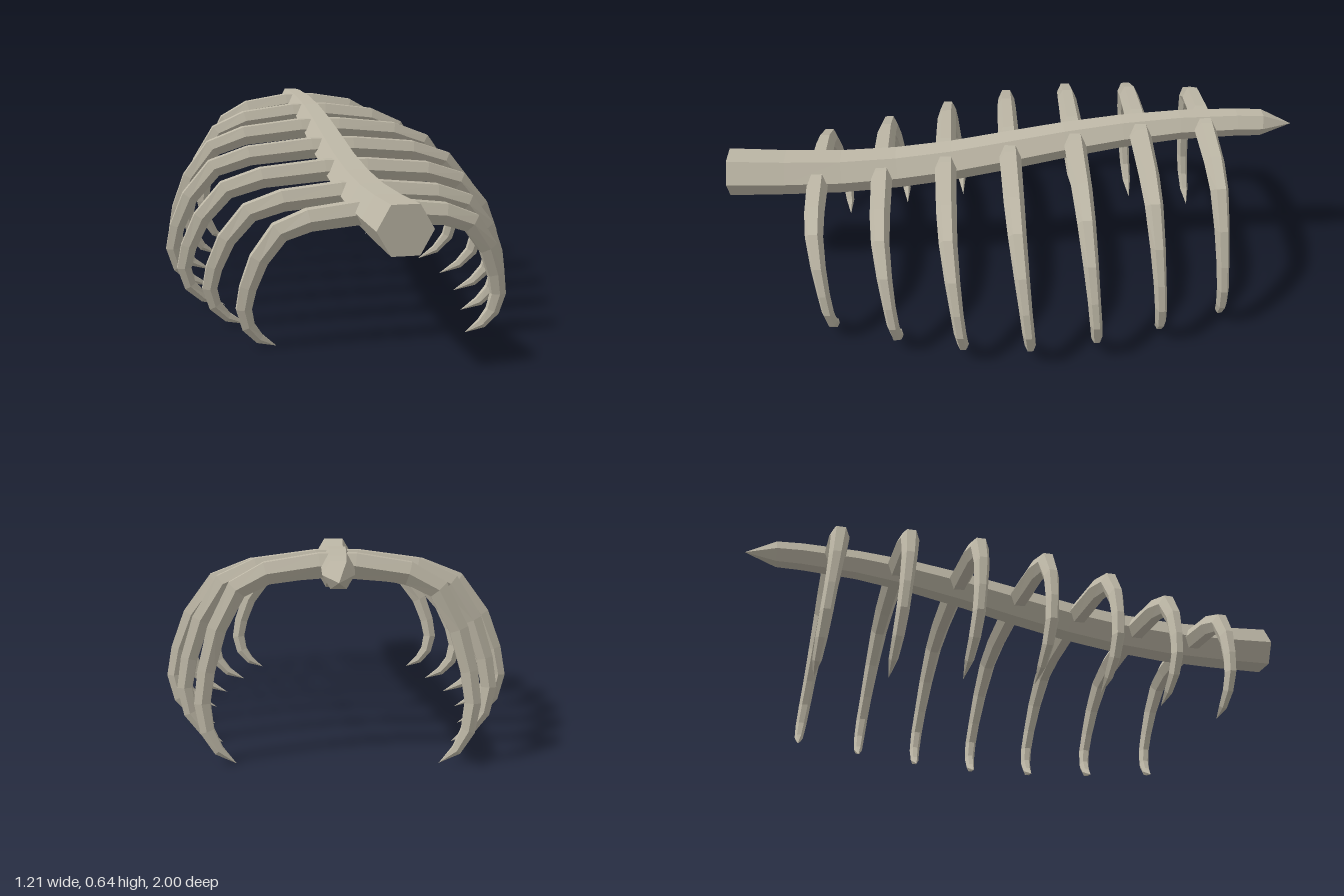
import * as THREE from 'three';

// Sweeps a six-sided section along rings [x, y, z, halfWidth, halfHeight];
// the width runs along the given axis. A ring of zero width ends in a point.
function hexSweep(rings, widthAxis) {
  const SIDES = 6;
  const centres = rings.map(r => new THREE.Vector3(r[0], r[1], r[2]));
  const last = rings.length - 1;
  const pos = [];
  const index = [];
  rings.forEach((r, i) => {
    const before = centres[Math.max(i - 1, 0)];
    const after = centres[Math.min(i + 1, last)];
    const tangent = after.clone().sub(before).normalize();
    const heightAxis = tangent.cross(widthAxis).normalize();
    for (let j = 0; j < SIDES; j++) {
      const a = (j / SIDES) * Math.PI * 2;
      const p = centres[i].clone()
        .addScaledVector(widthAxis, Math.cos(a) * r[3])
        .addScaledVector(heightAxis, Math.sin(a) / Math.sin(Math.PI / 3) * r[4]);
      pos.push(p.x, p.y, p.z);
    }
  });
  for (let i = 0; i < last; i++) {
    for (let j = 0; j < SIDES; j++) {
      const k = (j + 1) % SIDES;
      const a = i * SIDES + j, b = i * SIDES + k;
      index.push(a, b, a + SIDES);
      if (rings[i + 1][3] > 0) index.push(b, b + SIDES, a + SIDES);
    }
  }
  // flat cap over the first ring
  for (let j = 1; j < SIDES - 1; j++) index.push(0, j + 1, j);
  const geo = new THREE.BufferGeometry();
  geo.setAttribute('position', new THREE.Float32BufferAttribute(pos, 3));
  geo.setIndex(index);
  geo.computeVertexNormals();
  return geo;
}

export function createModel() {
  const group = new THREE.Group();
  const bone = new THREE.MeshStandardMaterial({ color: 0xbdb7a6, flatShading: true });
  bone.name = 'bone';

  // Spine: [z, centre height, half height], tapering to a point at the back
  const spineRings = [
    [1, 0.443, 0.073], [0.8, 0.435, 0.069], [0.6, 0.433, 0.066], [0.4, 0.445, 0.063],
    [0.2, 0.47, 0.061], [0, 0.507, 0.059], [-0.2, 0.546, 0.055], [-0.4, 0.578, 0.05],
    [-0.6, 0.598, 0.045], [-0.8, 0.603, 0.042], [-0.89, 0.6, 0.04], [-1, 0.592, 0],
  ].map(([z, y, h]) => [0, y, z, h / 0.87, h]);
  const spine = new THREE.Mesh(hexSweep(spineRings, new THREE.Vector3(1, 0, 0)), bone);
  spine.name = 'spine';
  group.add(spine);

  // Rib curve: [share of reach, share of height, half width, half height]
  const ribCurve = [
    [0, 1, 0.038, 0.036], [0.13, 1, 0.038, 0.036], [0.52, 0.96, 0.035, 0.034],
    [0.74, 0.88, 0.031, 0.032], [0.89, 0.68, 0.026, 0.029], [0.97, 0.47, 0.022, 0.026],
    [1, 0.31, 0.021, 0.024], [0.965, 0.17, 0.019, 0.021], [0.88, 0.07, 0.015, 0.015],
    [0.75, 0.004, 0, 0],
  ];
  const reach = [0.41, 0.492, 0.557, 0.581, 0.557, 0.492, 0.41];
  const height = [0.429, 0.444, 0.479, 0.519, 0.559, 0.589, 0.604];
  const zAxis = new THREE.Vector3(0, 0, 1);

  // Seven pairs of ribs, each leaning slightly backwards on the way down
  for (let i = 0; i < 7; i++) {
    const rootZ = 0.685 - i * 0.2283;
    for (const side of [1, -1]) {
      const rings = ribCurve.map(([x, y, w, h]) =>
        [side * x * reach[i], y * height[i], rootZ - 0.055 * (1 - y), w, h]);
      const rib = new THREE.Mesh(hexSweep(rings, zAxis), bone);
      rib.name = (side > 0 ? 'leftRib' : 'rightRib') + (i + 1);
      group.add(rib);
    }
  }
  return group;
}
